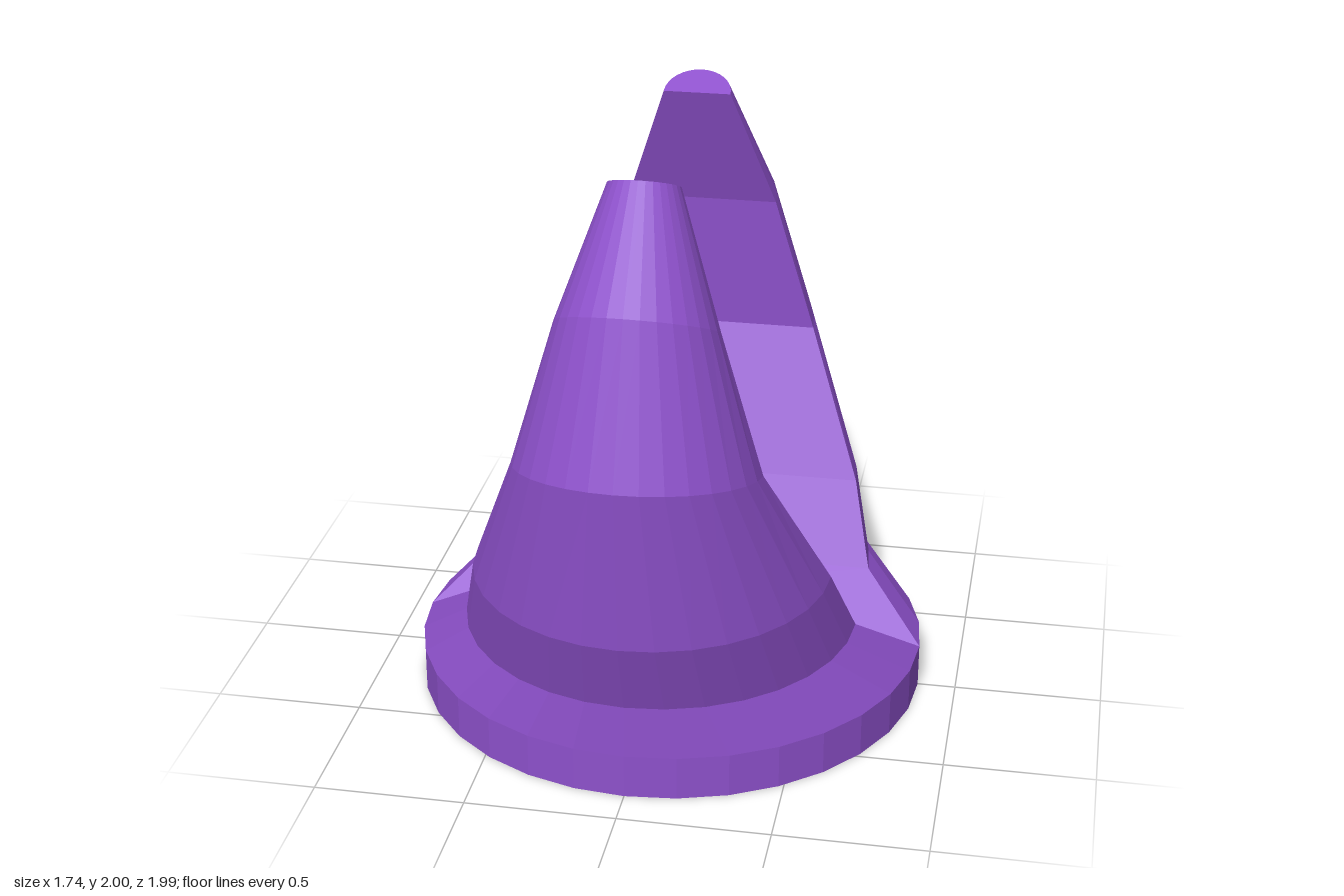
import * as THREE from 'three';

const SEGMENTS = 16; // per half circle
// Half-circle sections of a claw: [y, z, radius, rise of the outer rim]
const SECTIONS = [
  [0.15, 0, 0.87, 0],
  [0.33, 0.2, 0.665, 0],
  [0.59, 0.36, 0.595, 0],
  [1.06, 0.605, 0.4, 0.09],
  [1.53, 0.59, 0.26, 0.12],
  [1.95, 0.47, 0.115, 0.05],
];

function sectionPoints([y, z, r, rise]) {
  const depth = Math.sqrt(r * r - rise * rise);
  return Array.from({ length: SEGMENTS + 1 }, (_, k) => {
    const a = (Math.PI * k) / SEGMENTS;
    return [r * Math.cos(a), y + rise * Math.sin(a), z + depth * Math.sin(a)];
  });
}

// Loft through the tilted half circles, flat on the inner side
function clawGeometry() {
  const rings = SECTIONS.map(sectionPoints);
  const n = SEGMENTS + 1;
  const positions = [];
  const tri = (a, b, c) => positions.push(...a, ...b, ...c);
  for (let i = 0; i < rings.length - 1; i++) {
    const low = rings[i], up = rings[i + 1];
    for (let k = 0; k < n; k++) {
      const next = (k + 1) % n;
      tri(low[next], low[k], up[k]);
      tri(low[next], up[k], up[next]);
    }
  }
  // Tip cap
  const tip = rings[rings.length - 1];
  for (let k = 1; k < n - 1; k++) tri(tip[0], tip[k + 1], tip[k]);

  const geometry = new THREE.BufferGeometry();
  geometry.setAttribute('position', new THREE.Float32BufferAttribute(positions, 3));
  geometry.computeVertexNormals();
  return geometry;
}

export function createModel() {
  const group = new THREE.Group();
  const material = new THREE.MeshStandardMaterial({ color: 0x8e51cc, flatShading: true });

  // Round base; the claws cover its top
  const base = new THREE.Mesh(new THREE.CylinderGeometry(0.87, 0.87, 0.15, SEGMENTS * 2, 1, true), material);
  base.name = 'base';
  base.position.y = 0.075;
  group.add(base);

  const bottom = new THREE.Mesh(new THREE.CircleGeometry(0.87, SEGMENTS * 2), material);
  bottom.name = 'baseBottom';
  bottom.rotation.x = Math.PI / 2;
  group.add(bottom);

  // Two facing claws
  const geometry = clawGeometry();
  ['frontClaw', 'backClaw'].forEach((name, i) => {
    const claw = new THREE.Mesh(geometry, material);
    claw.name = name;
    claw.rotation.y = i * Math.PI;
    group.add(claw);
  });
  return group;
}
